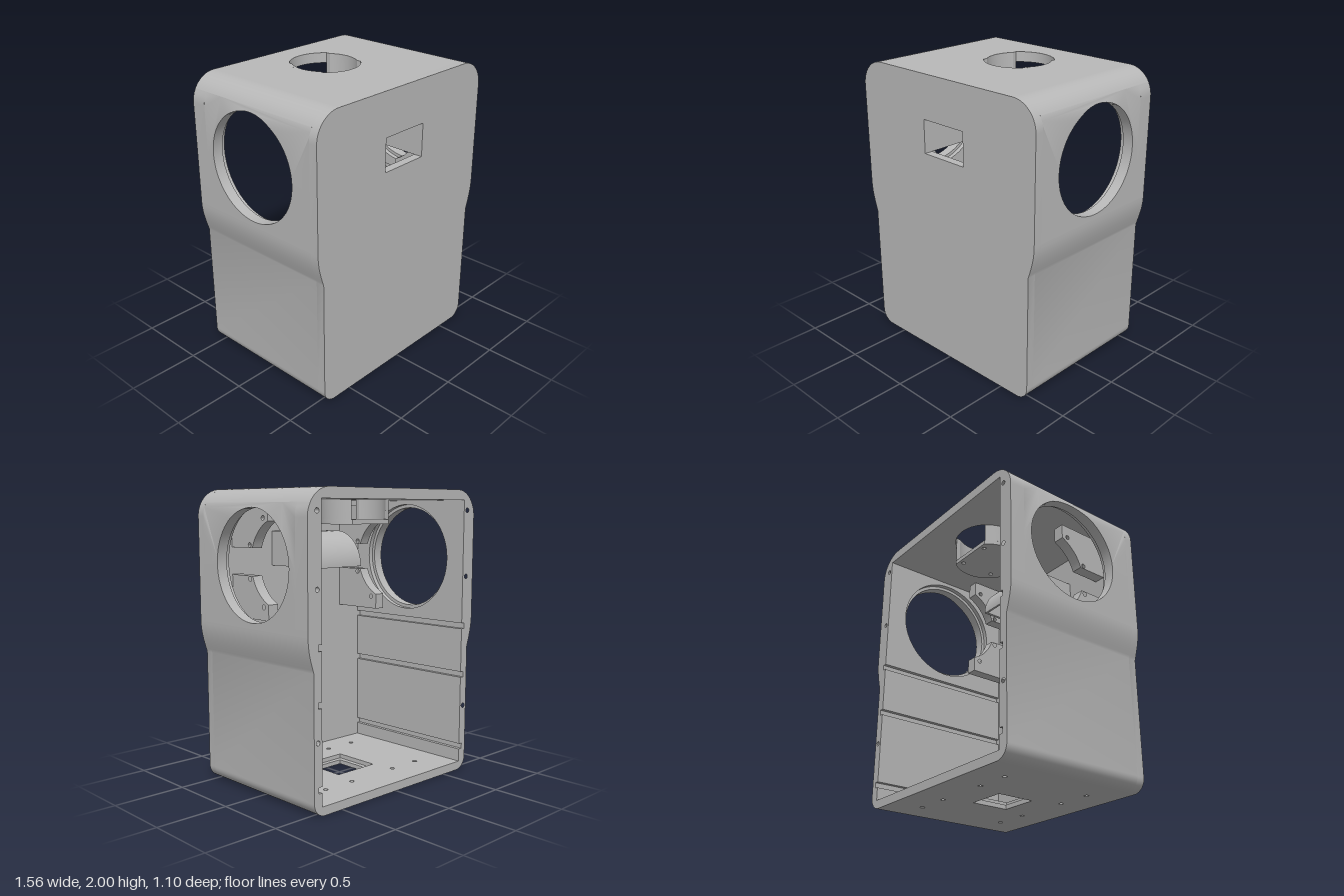
import * as THREE from 'three';
import { toCreasedNormals } from 'three/addons/utils/BufferGeometryUtils.js';

const INNER = 0.67, ROOF = 1.93, FLOOR = 0.06;
const FRONT = 0.49, BACK = -0.55;      // cavity depth range, front plate lies beyond FRONT
const SIDE_LO = 1.12, SIDE_HI = 1.91;  // height range of the wall panel with the big port
const PORT = { z: -0.02, y: 1.517 };

export function createModel() {
  const model = new THREE.Group();
  const grey = new THREE.MeshStandardMaterial({ color: 0xb8b8b8 });
  grey.name = 'matt grey';

  function add(name, geometry) {
    const mesh = new THREE.Mesh(toCreasedNormals(geometry, 0.5), grey);
    mesh.name = name;
    model.add(mesh);
  }
  const polygon = (pts) => new THREE.Shape(pts.map((p) => new THREE.Vector2(p[0], p[1])));
  const rect = (x0, y0, x1, y1) => polygon([[x0, y0], [x1, y0], [x1, y1], [x0, y1]]);
  function drill(shape, x, y, r) {
    shape.holes.push(new THREE.Path().absarc(x, y, r, 0, Math.PI * 2, true));
    return shape;
  }
  const extrude = (shape, depth) =>
    new THREE.ExtrudeGeometry(shape, { depth, bevelEnabled: false, curveSegments: 32 });
  // shape is (x, y)
  const alongZ = (shape, z0, z1) => extrude(shape, z1 - z0).translate(0, 0, z0);
  // shape is (x, -z)
  const alongY = (shape, y0, y1) => extrude(shape, y1 - y0).rotateX(-Math.PI / 2).translate(0, y0, 0);
  // shape is (-z, y)
  const alongX = (shape, x0, x1) => extrude(shape, x1 - x0).rotateY(Math.PI / 2).translate(x0, 0, 0);
  function arc(cx, cy, r, a0, a1, n = 12) {
    const pts = [];
    for (let i = 0; i <= n; i++) {
      const a = a0 + ((a1 - a0) * i) / n;
      pts.push([cx + r * Math.cos(a), cy + r * Math.sin(a)]);
    }
    return pts;
  }

  // Outer side contour, from the bottom to the top
  const taper = [];
  for (let i = 0; i <= 10; i++) {
    taper.push([0.735 + 0.045 * Math.sin((i / 10) * Math.PI / 2), 0.9 + 0.022 * i]);
  }
  const lowerSide = [...arc(0.645, 0.09, 0.09, -Math.PI / 2, 0), ...taper];
  const upperSide = arc(0.6, 1.82, 0.18, 0, Math.PI / 2, 16);
  const outerX = (y) => (y < 1.82 ? 0.78 : 0.6 + Math.sqrt(0.18 ** 2 - (y - 1.82) ** 2));

  // Front plate with window
  const contour = [...lowerSide, ...upperSide];
  const face = polygon([...contour, ...contour.map(([x, y]) => [-x, y]).reverse()]);
  face.holes.push(rect(-0.18, 1.47, 0.18, 1.7));
  add('frontPlate', alongZ(face, FRONT, 0.55));

  // Floor in two layers, with a stepped square opening and screw holes
  for (const [y0, y1, half] of [[0, 0.03, 0.135], [0.03, FLOOR, 0.17]]) {
    const floor = rect(-0.645, -FRONT, 0.645, -BACK);
    floor.holes.push(rect(-half, -half, half, half));
    for (const x of [-0.44, -0.2, 0.2, 0.44]) {
      for (const z of [-0.33, 0.33]) drill(floor, x, z, 0.016);
    }
    add('floor', alongY(floor, y0, y1));
  }

  // Roof with round opening
  add('roof', alongY(drill(rect(-0.6, -FRONT, 0.6, -BACK), 0, 0.14, 0.235), ROOF, 2));

  // Side panel layer, its outer face following the rounded contour
  function sidePanel(s, inner, outer, radius) {
    const edge = [SIDE_LO, 1.3, 1.5, 1.7, 1.82, 1.85, 1.88, SIDE_HI];
    const shape = polygon([
      ...edge.map((y) => [0.44, y]),
      ...[0.3, 0.15, 0, -0.15, -0.3].map((a) => [a, SIDE_HI]),
      ...edge.map((y) => [-FRONT, y]).reverse(),
    ]);
    drill(shape, -PORT.z, PORT.y, radius);
    const g = alongX(shape, 0, 1);
    const p = g.attributes.position;
    for (let i = 0; i < p.count; i++) {
      const isOuter = (p.getX(i) > 0.5) === (s > 0);
      p.setX(i, s * (isOuter ? outer(p.getY(i)) : inner));
    }
    return g;
  }

  for (const s of [1, -1]) {
    const flip = (pts) => pts.map(([x, y]) => [s * x, y]);

    // Lower wall with slide grooves and rim screw holes
    const inside = [[INNER, SIDE_LO]];
    for (const y of [1.05, 0.7, 0.17]) {
      inside.push([INNER, y + 0.02], [INNER + 0.028, y + 0.02], [INNER + 0.028, y - 0.02], [INNER, y - 0.02]);
    }
    inside.push([INNER, FLOOR], [0.645, FLOOR]);
    const lower = polygon(flip([...lowerSide, ...inside]));
    drill(lower, s * 0.703, 0.47, 0.016);
    add('lowerWall', alongZ(lower, BACK, FRONT));

    // Rounded top corner
    const start = Math.asin((SIDE_HI - 1.82) / 0.18);
    const corner = polygon(flip([
      ...arc(0.6, 1.82, 0.18, start, Math.PI / 2), [0.6, ROOF], [INNER, ROOF], [INNER, SIDE_HI],
    ]));
    add('topCorner', alongZ(corner, BACK, FRONT));

    // Rear rim of the upper wall
    const rimOuter = [SIDE_LO, 1.82, 1.84, 1.86, 1.88, SIDE_HI].map((y) => [outerX(y), y]);
    const rim = polygon(flip([...rimOuter, [INNER, SIDE_HI], [INNER, SIDE_LO]]));
    for (const y of [1.4, 1.86]) drill(rim, s * 0.705, y, 0.016);
    add('rearRim', alongZ(rim, BACK, -0.44));

    // Wall with large round port, recessed from the inside
    add('portWall', sidePanel(s, 0.705, outerX, 0.362));
    add('portRecess', sidePanel(s, INNER, () => 0.705, 0.385));

    // Mounting brackets with a concave edge around the port axis
    for (const v of [1, -1]) {
      const a0 = Math.asin(0.093 / 0.3), a1 = Math.acos(0.12 / 0.3);
      const pts = [
        ...arc(0, 0, 0.3, a0, a1, 10), [0.12, 0.383], [FRONT - PORT.z, 0.383], [FRONT - PORT.z, 0.093],
      ].map(([dz, dy]) => [-(PORT.z + dz), PORT.y + v * dy]);
      const bracket = polygon(pts);
      drill(bracket, -0.15, PORT.y + v * 0.294, 0.016);
      drill(bracket, -0.293, PORT.y + v * 0.114, 0.016);
      add('mountingBracket', alongX(bracket, s > 0 ? 0.47 : -0.55, s > 0 ? 0.55 : -0.47));
    }

    // Hood side wall
    const cheek = polygon([[-FRONT, 1.47], ...arc(-0.235, 1.47, 0.245, 0, Math.PI / 2, 20), [-FRONT, 1.715]]);
    add('hoodSide', alongX(cheek, s > 0 ? 0.18 : -0.2, s > 0 ? 0.2 : -0.18));

    // Curved cup wall under the roof opening
    const ao = Math.acos(0.175 / 0.235), ai = Math.acos(0.175 / 0.215);
    const cupWall = polygon(flip([...arc(0, 0.14, 0.235, -ao, ao), ...arc(0, 0.14, 0.215, ai, -ai)]));
    add('cupWall', alongY(cupWall, 1.8, 2));
  }

  // Quarter-round hood behind the window, open below
  const hood = polygon([
    ...arc(-0.235, 1.47, 0.245, 0, Math.PI / 2, 20), [-FRONT, 1.715], [-FRONT, 1.7],
    ...arc(-0.235, 1.47, 0.23, Math.PI / 2, 0, 20),
  ]);
  add('hoodShell', alongX(hood, -0.18, 0.18));

  // Cup floor, cut straight at the back
  const cut = Math.asin(0.16 / 0.235);
  const cupFloor = polygon(arc(0, 0.14, 0.235, Math.PI - cut, Math.PI * 2 + cut, 40));
  for (const x of [-0.125, 0.125]) {
    for (const z of [-0.265, -0.015]) drill(cupFloor, x, -z, 0.015);
  }
  add('cupFloor', alongY(cupFloor, 1.77, 1.8));

  return model;
}
